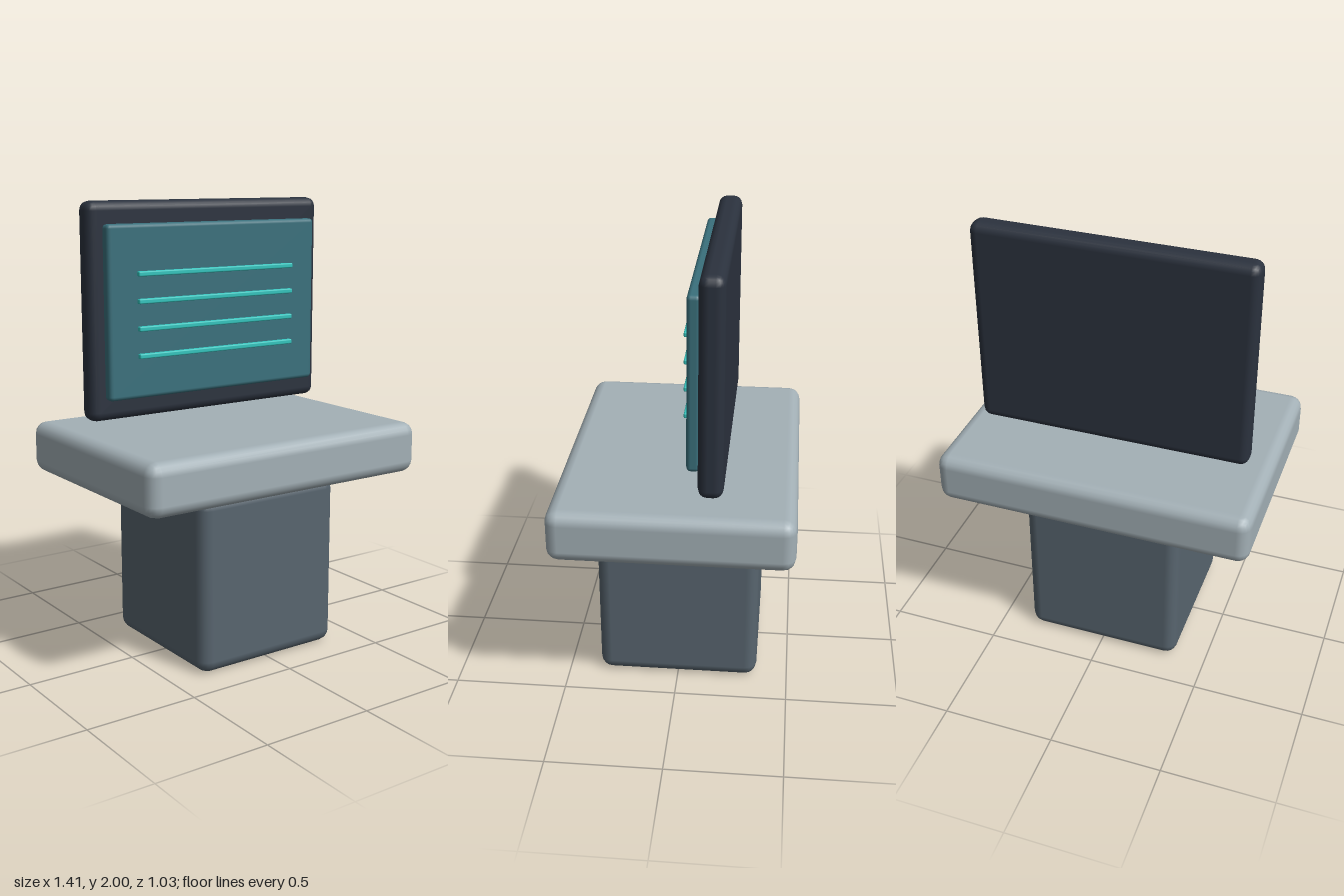
import * as THREE from 'three';
import { RoundedBoxGeometry } from 'three/addons/geometries/RoundedBoxGeometry.js';

function material(name, color) {
  const m = new THREE.MeshStandardMaterial({ color });
  m.name = name;
  return m;
}

export function createModel() {
  const slate = material('slate grey', 0x58656f);
  const pale = material('pale grey', 0xa3b0b6);
  const navy = material('dark navy', 0x2b323e);
  const teal = material('deep teal', 0x3a707c);
  const aqua = material('bright aqua', 0x33c4bd);

  const model = new THREE.Group();
  model.name = 'consoleDesk';

  // Soft-edged box given by its size and centre
  function softBox(name, mat, [w, h, d], [x, y, z], radius, parent = model) {
    const mesh = new THREE.Mesh(new RoundedBoxGeometry(w, h, d, 2, radius), mat);
    mesh.name = name;
    mesh.position.set(x, y, z);
    parent.add(mesh);
    return mesh;
  }

  // Base and desk top
  softBox('pedestal', slate, [0.72, 0.785, 0.72], [0, 0.3925, 0], 0.055);
  softBox('deskTop', pale, [1.41, 0.23, 1.03], [0, 0.9, 0], 0.055);

  // Monitor floating just above the desk
  const monitor = new THREE.Group();
  monitor.name = 'monitor';
  model.add(monitor);
  softBox('monitorFrame', navy, [1.224, 0.94, 0.106], [0, 1.53, -0.158], 0.04, monitor);
  softBox('screen', teal, [1.1, 0.75, 0.056], [0, 1.53, -0.083], 0.018, monitor);

  // Glowing lines on the screen
  [1.695, 1.578, 1.46, 1.342].forEach((y, i) => {
    softBox(`screenLine${i + 1}`, aqua, [0.824, 0.022, 0.024], [0, y, -0.045], 0.006, monitor);
  });

  return model;
}
